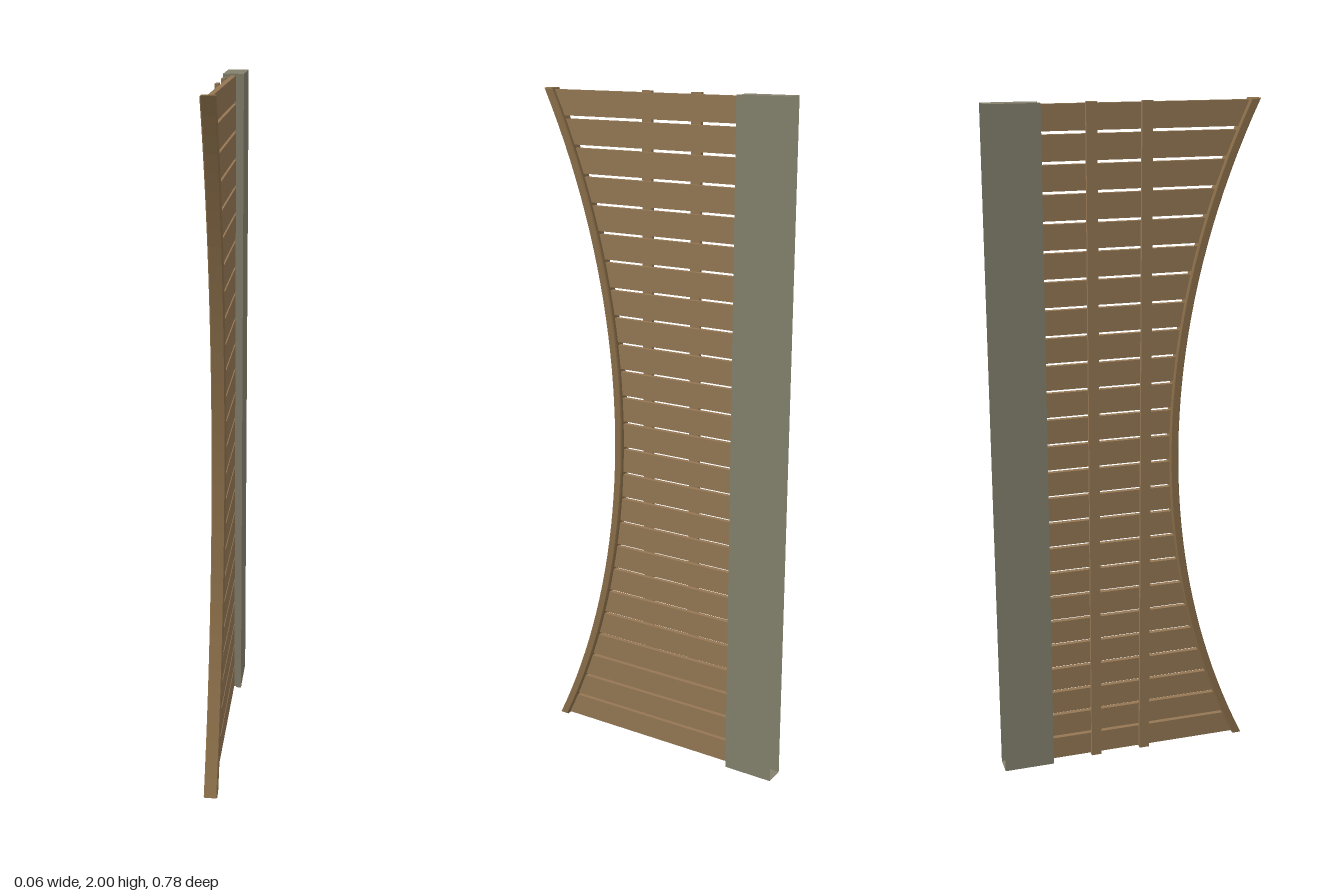
import * as THREE from 'three';

const HEIGHT = 2;
const SLATS = 25;
const PITCH = HEIGHT / SLATS;
const GAP = 0.009;
const ARC_CENTRE = 2.479; // z of the centre of the curved edge
const R_OUTER = 2.316;
const R_INNER = 2.341;

const material = (name, color, side = THREE.FrontSide) => {
  const m = new THREE.MeshStandardMaterial({ color, side });
  m.name = name;
  return m;
};

// z of an arc about the curve's centre at height y
const arcZ = (y, r) => ARC_CENTRE - Math.sqrt(r * r - (y - 1) ** 2);

// Extrudes a side outline of [z, y] points across x, centred on x = 0
function sidePanel(points, width, bevel = 0) {
  const shape = new THREE.Shape(points.map(([z, y]) => new THREE.Vector2(-z, y)));
  const depth = width - 2 * bevel;
  const geo = new THREE.ExtrudeGeometry(shape, {
    depth, bevelEnabled: bevel > 0, bevelThickness: bevel,
    bevelSize: bevel, bevelOffset: -bevel, bevelSegments: 1,
  });
  return geo.translate(0, 0, -depth / 2).rotateY(Math.PI / 2);
}

// Hollow post: notched front, capped ends, open back
function postGeometry() {
  const outline = [
    [-0.03, 0.39], [-0.03, 0.237], [-0.013, 0.237], [-0.013, 0.243],
    [0.013, 0.243], [0.013, 0.237], [0.03, 0.237], [0.03, 0.39],
  ];
  const shape = new THREE.Shape(outline.map(([x, d]) => new THREE.Vector2(x, d)));
  const geo = new THREE.ExtrudeGeometry(shape, { depth: HEIGHT, bevelEnabled: false });
  geo.rotateX(-Math.PI / 2);
  // drop the back wall
  const p = geo.attributes.position;
  const kept = [];
  for (let i = 0; i < p.count; i += 3) {
    if ([0, 1, 2].every((k) => p.getZ(i + k) < -0.389)) continue;
    for (let k = 0; k < 3; k++) kept.push(p.getX(i + k), p.getY(i + k), p.getZ(i + k));
  }
  const open = new THREE.BufferGeometry();
  open.setAttribute('position', new THREE.Float32BufferAttribute(kept, 3));
  open.computeVertexNormals();
  return open;
}

export function createModel() {
  const model = new THREE.Group();
  model.name = 'fencePanel';
  const slatWood = material('slatWood', 0x937653);
  const railWood = material('railWood', 0x8a6e49);
  const postGrey = material('postGrey', 0x83806c, THREE.DoubleSide);

  const add = (name, geo, mat, parent = model) => {
    const mesh = new THREE.Mesh(geo, mat);
    mesh.name = name;
    parent.add(mesh);
    return mesh;
  };

  add('post', postGeometry(), postGrey);

  // Curved front rail with chamfered edges
  const N = 40;
  const rail = [];
  for (let i = 0; i <= N; i++) rail.push([arcZ((HEIGHT * i) / N, R_OUTER), (HEIGHT * i) / N]);
  for (let i = N; i >= 0; i--) rail.push([arcZ((HEIGHT * i) / N, R_INNER), (HEIGHT * i) / N]);
  add('curvedRail', sidePanel(rail, 0.04, 0.003), railWood);

  // Horizontal slats, cut to the curve and let slightly into the rail
  const slats = new THREE.Group();
  slats.name = 'slats';
  model.add(slats);
  for (let i = 0; i < SLATS; i++) {
    const y0 = i * PITCH + GAP / 2;
    const y1 = (i + 1) * PITCH - GAP / 2;
    const r = R_INNER - 0.005;
    add('slat', sidePanel([
      [-0.243, y0], [-0.243, y1], [arcZ(y1, r), y1], [arcZ(y0, r), y0],
    ], 0.0146), slatWood, slats);
  }

  // Upright battens behind the slats
  for (const z of [0.062, -0.095]) {
    add('batten', new THREE.BoxGeometry(0.011, HEIGHT, 0.031), slatWood)
      .position.set(-0.0128, HEIGHT / 2, z);
  }
  return model;
}
